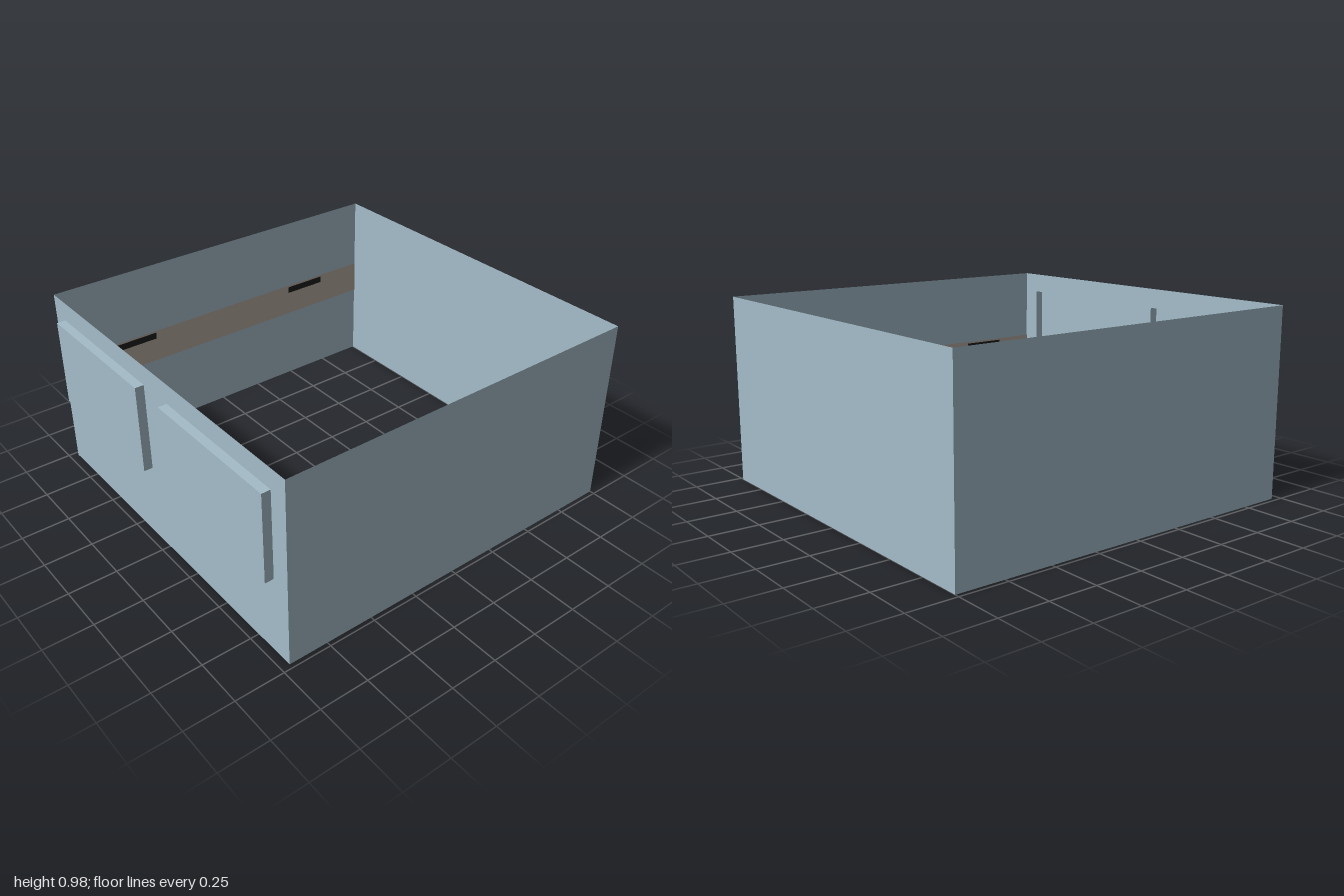
import * as THREE from 'three';

const X0 = -0.955, X1 = 1, Z = 0.977, H = 0.98;     // room extents
const BAY = { x: -1, y0: 0.415, y1: 0.875, z0: 0.1, z1: 0.88 };

export function createModel() {
  const model = new THREE.Group();
  const mat = (name, color) => {
    const m = new THREE.MeshStandardMaterial({ color, side: THREE.DoubleSide });
    m.name = name;
    return m;
  };
  const wallBlue = mat('wallBlue', 0xa4bdc9);
  const bandTan = mat('bandTan', 0xb3a89e);
  const plateDark = mat('plateDark', 0x1c1c1c);

  const add = (name, geometry, material, x, y, z, ry = 0, parent = model) => {
    const mesh = new THREE.Mesh(geometry, material);
    mesh.name = name;
    mesh.position.set(x, y, z);
    mesh.rotation.y = ry;
    parent.add(mesh);
    return mesh;
  };

  const length = X1 - X0, midX = (X0 + X1) / 2;

  // Front and back walls, each with an inner band and two small plates
  for (const s of [1, -1]) {
    const turn = s > 0 ? 0 : Math.PI;
    const inward = turn + Math.PI;
    const side = s > 0 ? 'front' : 'back';
    add(side + 'Wall', new THREE.PlaneGeometry(length, H), wallBlue, midX, H / 2, s * Z, turn);
    const band = bandTan.clone();
    band.name = bandTan.name;
    add(side + 'Band', new THREE.PlaneGeometry(length, 0.18), bandTan, midX, 0.5, s * (Z - 0.003), inward)
      .material.side = THREE.FrontSide;
    for (const px of [0.53, -0.61]) {
      add(side + 'BandPlate', new THREE.BoxGeometry(0.24, 0.035, 0.003), plateDark,
        s * px, 0.563, s * (Z - 0.005));
    }
  }

  // Plain left wall
  add('leftWall', new THREE.PlaneGeometry(2 * Z, H), wallBlue, X1, H / 2, 0, Math.PI / 2);

  // Right wall with two openings (shape x runs along z)
  const rect = (Type, a, b, c, d) => new Type([[a, b], [c, b], [c, d], [a, d]]
    .map(([x, y]) => new THREE.Vector2(x, y)));
  const wall = rect(THREE.Shape, -Z, 0, Z, H);
  for (const s of [1, -1]) {
    wall.holes.push(rect(THREE.Path, s * BAY.z0, BAY.y0, s * BAY.z1, BAY.y1));
  }
  add('rightWall', new THREE.ShapeGeometry(wall), wallBlue, X0, 0, 0, -Math.PI / 2);

  // Shallow bays pushed outward, open to the inside
  const depth = X0 - BAY.x, w = BAY.z1 - BAY.z0, h = BAY.y1 - BAY.y0;
  for (const s of [1, -1]) {
    const bay = new THREE.Group();
    bay.name = s > 0 ? 'frontBay' : 'backBay';
    bay.position.set(BAY.x, (BAY.y0 + BAY.y1) / 2, s * (BAY.z0 + BAY.z1) / 2);
    add('bayPanel', new THREE.PlaneGeometry(w, h), wallBlue, 0, 0, 0, -Math.PI / 2, bay);
    for (const e of [1, -1]) {
      add('bayEnd', new THREE.PlaneGeometry(depth, h), wallBlue,
        depth / 2, 0, e * w / 2, e > 0 ? 0 : Math.PI, bay);
      add(e > 0 ? 'bayTop' : 'bayBottom',
        new THREE.PlaneGeometry(depth, w).rotateX(-e * Math.PI / 2), wallBlue,
        depth / 2, e * h / 2, 0, 0, bay);
    }
    model.add(bay);
  }
  return model;
}
